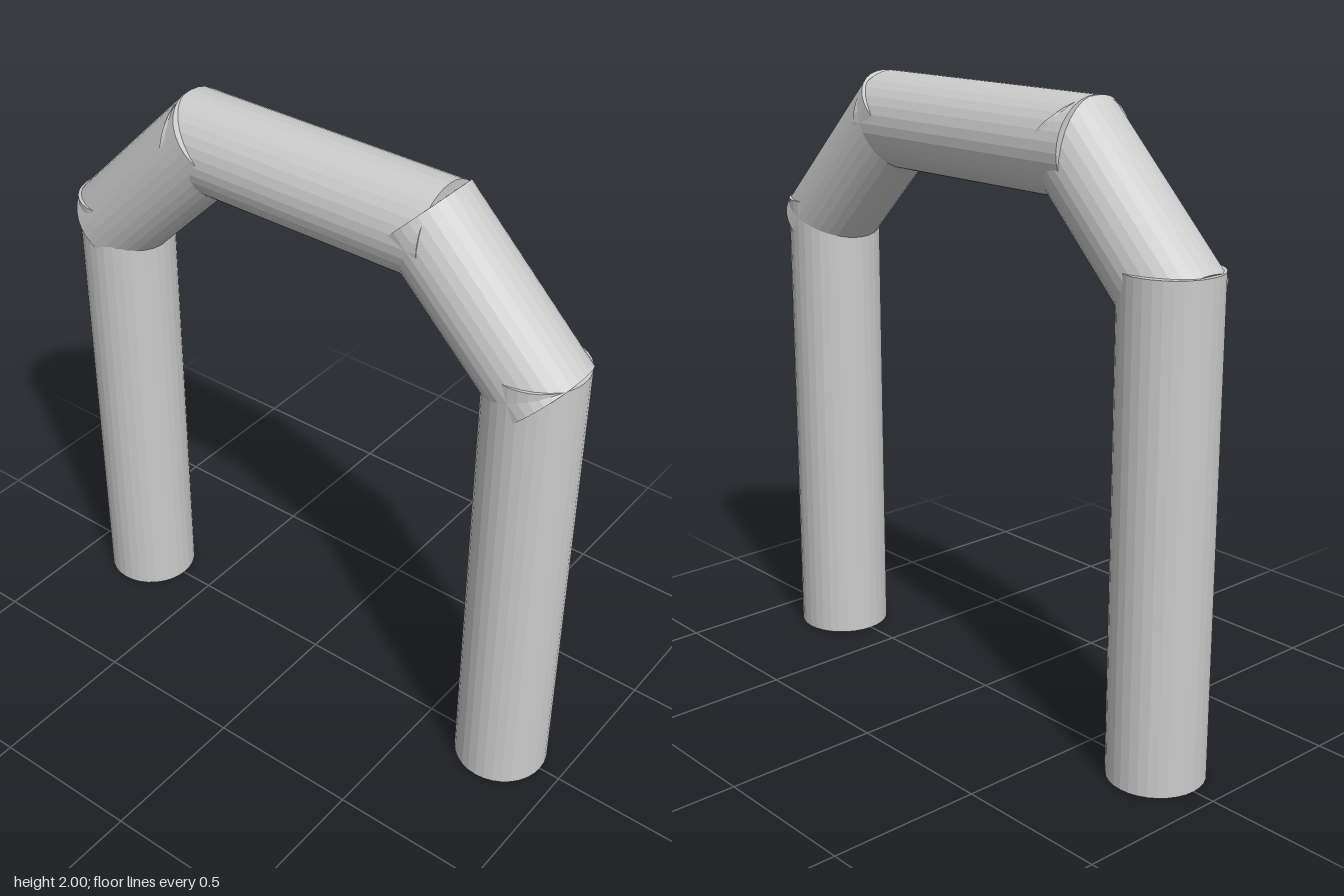
import * as THREE from 'three';

const RADIUS = 0.153;

export function createModel() {
  const group = new THREE.Group();
  const material = new THREE.MeshStandardMaterial({ color: 0xcccccc, flatShading: true });
  const up = new THREE.Vector3(0, 1, 0);

  // Capped straight pipe between two [y, z] points, shifted sideways by x
  function pipe(name, x, [y0, z0], [y1, z1]) {
    const a = new THREE.Vector3(x, y0, z0);
    const b = new THREE.Vector3(x, y1, z1);
    const dir = b.clone().sub(a);
    const mesh = new THREE.Mesh(new THREE.CylinderGeometry(RADIUS, RADIUS, dir.length(), 32), material);
    mesh.position.copy(a).add(b).multiplyScalar(0.5);
    mesh.quaternion.setFromUnitVectors(up, dir.normalize());
    mesh.name = name;
    group.add(mesh);
  }

  // Upright legs
  pipe('frontLeg', 0.002, [0, 0.776], [1.55, 0.776]);
  pipe('backLeg', 0.002, [0, -0.773], [1.55, -0.773]);

  // Sloping shoulders, the back one sitting slightly off centre
  pipe('frontShoulder', 0.002, [1.455, 0.817], [1.89, 0.382]);
  pipe('backShoulder', -0.006, [1.447, -0.805], [1.89, -0.362]);

  // Level bar across the top
  pipe('topBar', 0.002, [1.847, 0.458], [1.847, -0.467]);

  return group;
}
